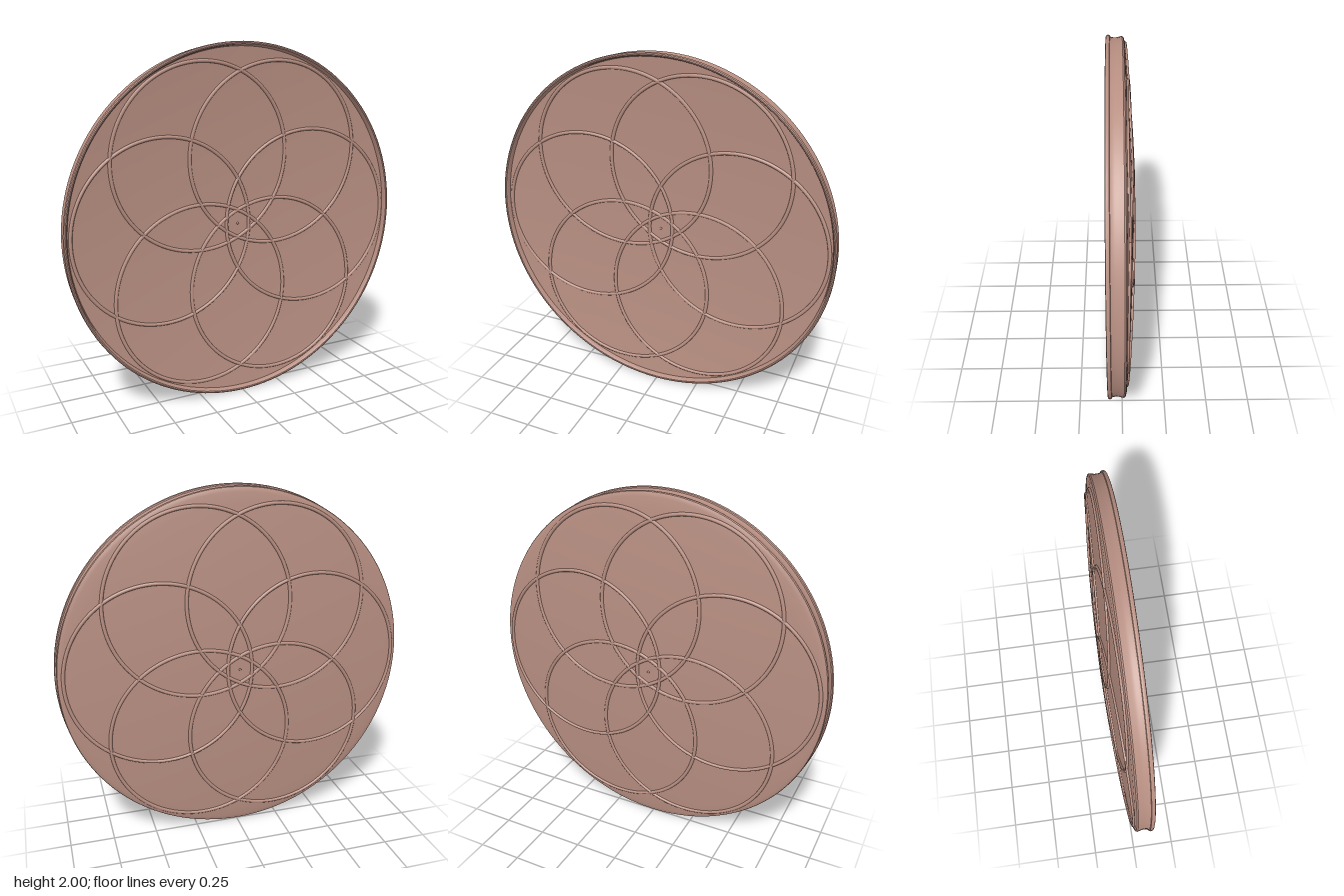
import * as THREE from 'three';
import { toCreasedNormals } from 'three/addons/utils/BufferGeometryUtils.js';

const backZ = (r) => -0.067 + 0.05 * r * r;  // domed back surface
const frontZ = (r) => 0.002 + 0.052 * r * r; // hollowed front surface

// Ring that hugs a dished surface, offset from the middle
class SurfaceRing extends THREE.Curve {
  constructor(angle, surface) {
    super();
    this.cx = 0.445 * Math.cos(angle);
    this.cy = 0.445 * Math.sin(angle);
    this.surface = surface;
  }
  getPoint(t, target = new THREE.Vector3()) {
    const a = t * Math.PI * 2;
    const x = this.cx + 0.515 * Math.cos(a);
    const y = this.cy + 0.515 * Math.sin(a);
    return target.set(x, y, this.surface(Math.hypot(x, y)));
  }
}

export function createModel() {
  const group = new THREE.Group();
  const clay = new THREE.MeshStandardMaterial({ color: 0xb88f82 });
  clay.name = 'dusty rose';

  const add = (name, geometry) => {
    const mesh = new THREE.Mesh(geometry, clay);
    mesh.name = name;
    mesh.position.y += 1;
    group.add(mesh);
    return mesh;
  };

  // Disc: domed back, waisted edge, front bead, hollow front
  const profile = [];
  const steps = 16;
  for (let i = 0; i <= steps; i++) {
    const r = (0.965 * i) / steps;
    profile.push(new THREE.Vector2(r, backZ(r)));
  }
  const edge = [
    [0.98, -0.017], [0.989, -0.013], [0.993, -0.006], [0.991, 0.005],
    [0.987, 0.02], [0.986, 0.035], [0.988, 0.048], [0.991, 0.057],
    [0.997, 0.059], [1, 0.064], [1, 0.071], [0.997, 0.077],
    [0.991, 0.079], [0.985, 0.077], [0.981, 0.071], [0.979, 0.062],
  ];
  edge.forEach(([r, z]) => profile.push(new THREE.Vector2(r, z)));
  for (let i = steps; i >= 0; i--) {
    const r = (0.975 * i) / steps;
    profile.push(new THREE.Vector2(r, frontZ(r)));
  }
  const disc = new THREE.LatheGeometry(profile, 128).rotateX(Math.PI / 2);
  add('disc', toCreasedNormals(disc, 0.6));

  // Six overlapping raised rings and a centre pip on each face
  for (const [side, surface] of [['front', frontZ], ['back', backZ]]) {
    for (let i = 0; i < 6; i++) {
      const ring = new SurfaceRing((i * Math.PI) / 3, surface);
      add(side + 'PetalRing' + (i + 1), new THREE.TubeGeometry(ring, 120, 0.01, 10, true));
    }
    const pip = add(side + 'CentrePip', new THREE.SphereGeometry(0.007, 12, 8));
    pip.position.z = surface(0);
  }
  return group;
}
